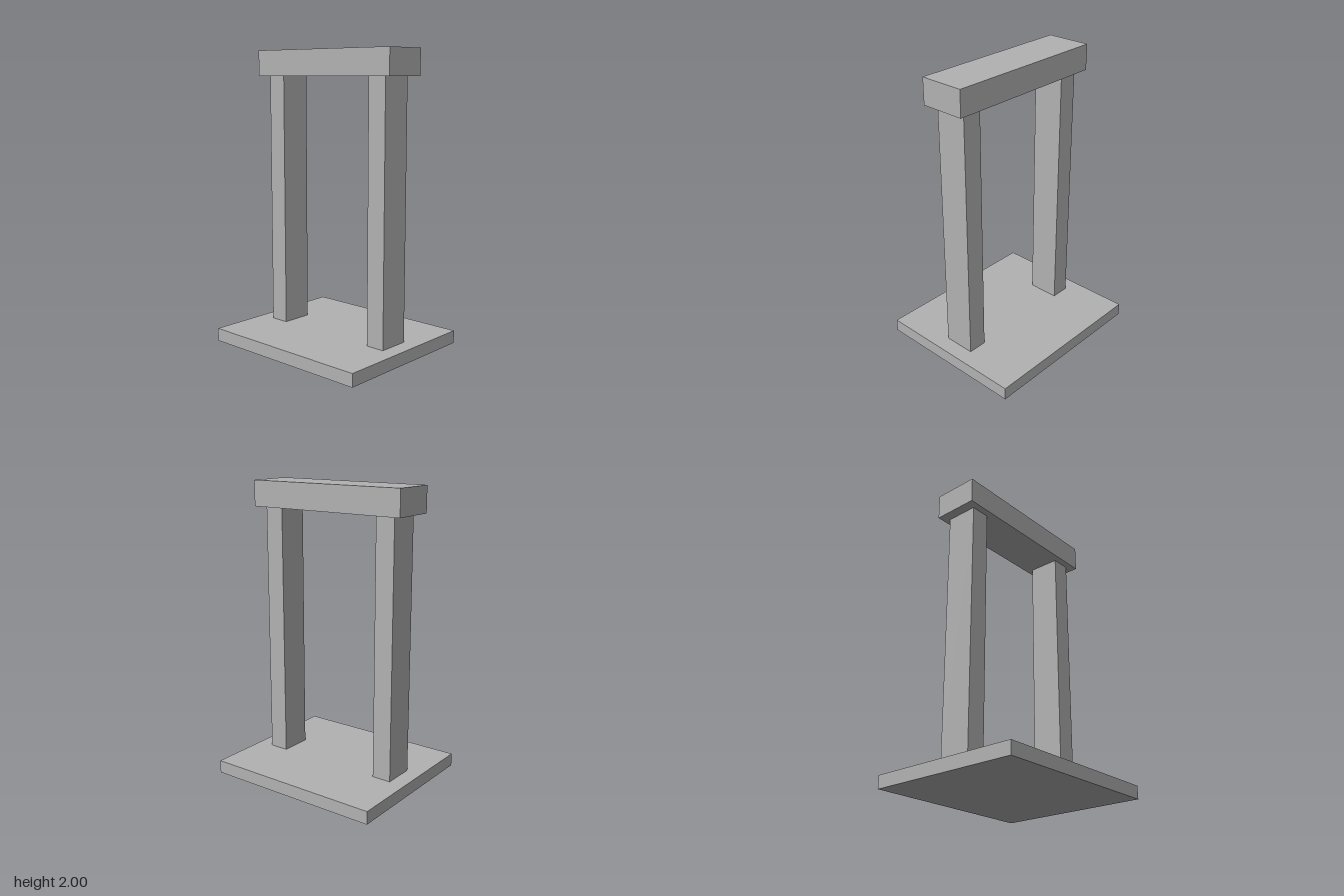
import * as THREE from 'three';

export function createModel() {
  const model = new THREE.Group();
  model.name = 'gateFrame';

  const grey = new THREE.MeshStandardMaterial({ color: 0xb2b2b2 });
  grey.name = 'plain grey';

  // Box standing between two heights, centred on z
  function block(name, width, depth, bottom, top, x = 0) {
    const mesh = new THREE.Mesh(new THREE.BoxGeometry(width, top - bottom, depth), grey);
    mesh.name = name;
    mesh.position.set(x, (bottom + top) / 2, 0);
    model.add(mesh);
  }

  const baseTop = 0.088;
  const beamBottom = 1.825;

  // Base plate and top beam
  block('basePlate', 1.243, 1.067, 0, baseTop);
  block('topBeam', 1.154, 0.31, beamBottom, 2);

  // Pair of upright posts
  for (const [name, side] of [['leftPost', 1], ['rightPost', -1]]) {
    block(name, 0.134, 0.22, baseTop, beamBottom, side * 0.444);
  }

  return model;
}
